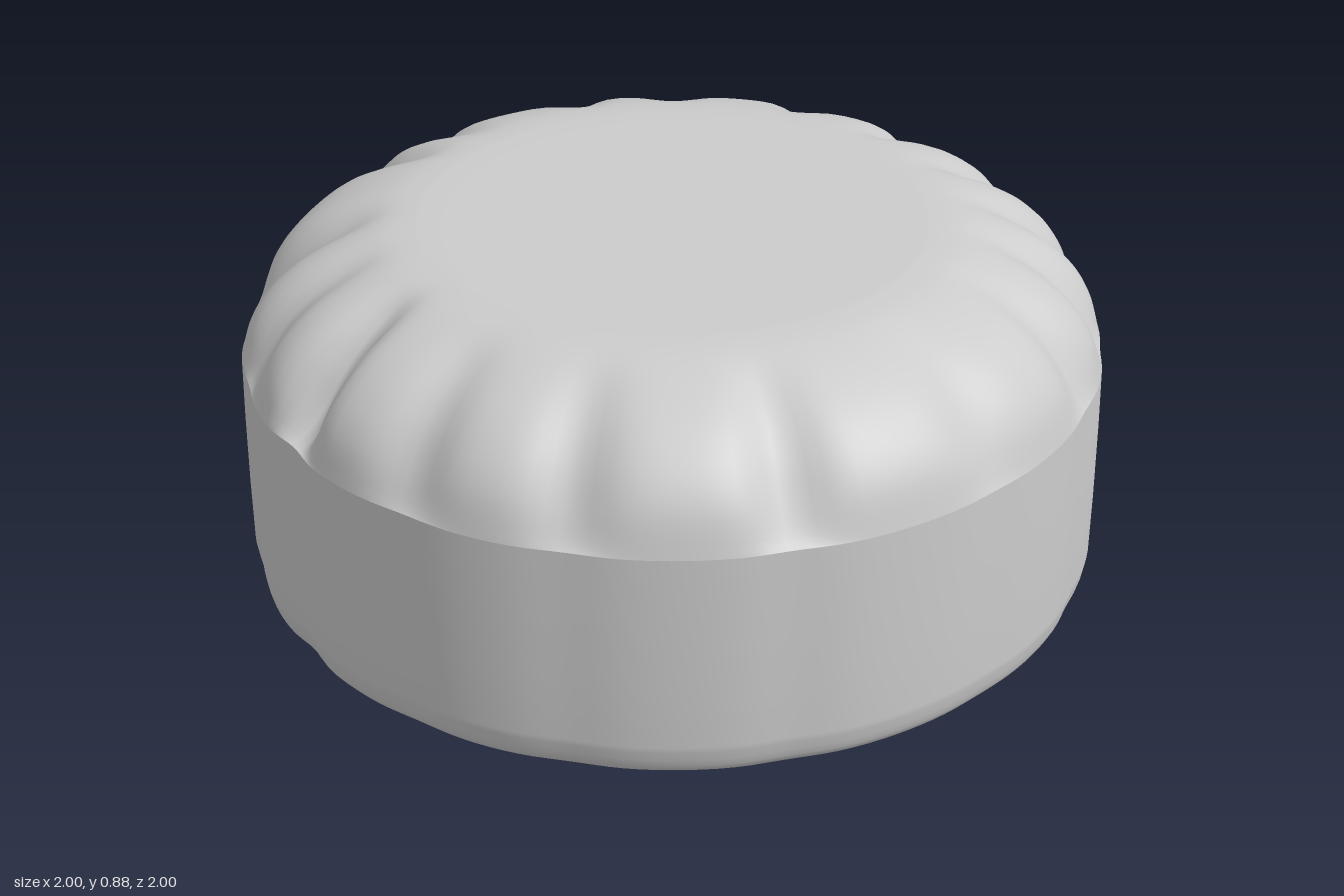
import * as THREE from 'three';
import { mergeVertices } from 'three/addons/utils/BufferGeometryUtils.js';

// Gathered folds: [angle in degrees from +x towards +z, depth, half width in degrees]
const folds = [
  [14, 0.04, 4], [38, 0.025, 5], [67, 0.055, 5], [95, 0.05, 5], [117, 0.045, 5],
  [139, 0.1, 4], [157, 0.05, 4], [175, 0.07, 5], [205, 0.07, 4], [219, 0.045, 4],
  [244, 0.045, 4], [262, 0.04, 5], [286, 0.045, 4], [306, 0.075, 4], [325, 0.055, 4],
  [342, 0.045, 4], [357, 0.045, 4],
];

function foldDepth(angle) {
  let sum = 0;
  for (const [a, depth, width] of folds) {
    const d = ((angle - a + 540) % 360) - 180;
    sum += depth * Math.exp(-((d / width) ** 2));
  }
  return sum;
}

// Revolves a profile, then presses the folds into it
function foldedLathe(name, points, material) {
  let geo = new THREE.LatheGeometry(points, 180);
  geo.deleteAttribute('uv');
  geo.deleteAttribute('normal');
  geo = mergeVertices(geo, 1e-5);
  const pos = geo.attributes.position;
  for (let i = 0; i < pos.count; i++) {
    const x = pos.getX(i), y = pos.getY(i), z = pos.getZ(i);
    const r = Math.hypot(x, z);
    if (r < 0.56) continue;
    const depth = foldDepth((Math.atan2(z, x) * 180) / Math.PI + 360);
    // folds are deepest on the shoulder and fade on the flat top and the side
    const t = THREE.MathUtils.clamp((y - 0.57) / 0.305, 0, 1);
    const inner = THREE.MathUtils.smoothstep(r, 0.56, 0.78);
    const press = inner * Math.pow(Math.sin(Math.PI * Math.min(1, t)), 0.8);
    const ripple = 0.15 * THREE.MathUtils.smoothstep(r, 0.9, 0.99);
    const k = (r - depth * (0.6 * press + ripple)) / r;
    pos.setXYZ(i, x * k, y - depth * 0.6 * press, z * k);
  }
  geo.computeVertexNormals();
  const mesh = new THREE.Mesh(geo, material);
  mesh.name = name;
  return mesh;
}

const spline = (pts, n) =>
  new THREE.SplineCurve(pts.map(([r, y]) => new THREE.Vector2(r, y))).getPoints(n);

export function createModel() {
  const group = new THREE.Group();
  group.name = 'pouf';
  const fabric = new THREE.MeshStandardMaterial({ color: 0xcccccc });

  // Flat underside, rounded lower edge and upright side
  const body = [
    new THREE.Vector2(0, 0), new THREE.Vector2(0.85, 0.003),
    ...spline([[0.92, 0.005], [0.965, 0.018], [0.988, 0.045], [1, 0.1]], 9),
    new THREE.Vector2(1.002, 0.25), new THREE.Vector2(1.002, 0.42),
    new THREE.Vector2(1, 0.57),
  ];
  group.add(foldedLathe('sideAndBase', body, fabric));

  // Domed shoulder with gathered folds, running into a flat top
  const cushion = [
    ...spline([[1, 0.57], [0.975, 0.66], [0.93, 0.73], [0.86, 0.79],
      [0.77, 0.835], [0.67, 0.865], [0.58, 0.875]], 28),
    new THREE.Vector2(0.5, 0.875), new THREE.Vector2(0, 0.875),
  ];
  group.add(foldedLathe('cushionTop', cushion, fabric));

  return group;
}
